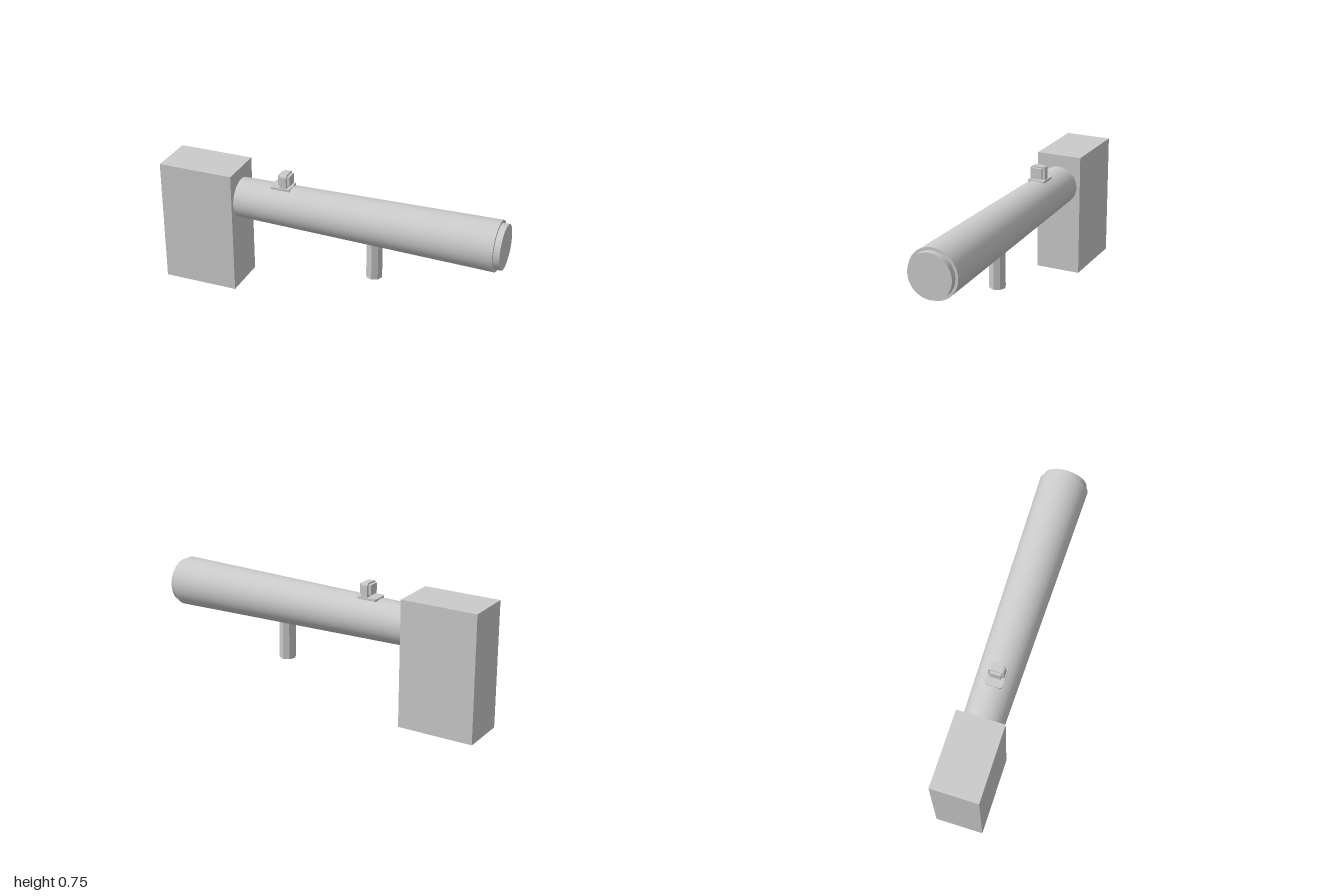
import * as THREE from 'three';

const mat = new THREE.MeshStandardMaterial({ color: 0xcccccc });
const flatMat = new THREE.MeshStandardMaterial({ color: 0xcccccc, flatShading: true });

function add(parent, name, geometry, x, y, z, material = mat) {
  const mesh = new THREE.Mesh(geometry, material);
  mesh.name = name;
  mesh.position.set(x, y, z);
  parent.add(mesh);
  return mesh;
}

// Cylinder lying along x, from x0 (radius r0) to x1 (radius r1)
function barrelPart(parent, name, x0, r0, x1, r1) {
  const geo = new THREE.CylinderGeometry(r1, r0, x1 - x0, 64);
  geo.rotateZ(-Math.PI / 2);
  return add(parent, name, geo, (x0 + x1) / 2, 0.543, 0);
}

// Rectangle from (x0, y0) to (x1, y1) with the two corners at y1 rounded
function archShape(x0, y0, x1, y1, r) {
  const s = new THREE.Shape();
  s.moveTo(x0, y0);
  s.lineTo(x1, y0);
  s.lineTo(x1, y1 - r);
  s.quadraticCurveTo(x1, y1, x1 - r, y1);
  s.lineTo(x0 + r, y1);
  s.quadraticCurveTo(x0, y1, x0, y1 - r);
  s.closePath();
  return s;
}

const extrude = (shape, depth) =>
  new THREE.ExtrudeGeometry(shape, { depth, bevelEnabled: false, curveSegments: 5 });

export function createModel() {
  const model = new THREE.Group();
  model.name = 'model';

  // Upright block at the end
  add(model, 'endBlock', new THREE.BoxGeometry(0.445, 0.73, 0.274), -0.7775, 0.365, 0);

  // Tapered tube and its inset end cap
  barrelPart(model, 'tube', -0.565, 0.115, 0.965, 0.143);
  barrelPart(model, 'endCap', 0.95, 0.127, 1, 0.127);

  // Octagonal grip below the tube
  add(model, 'grip', new THREE.CylinderGeometry(0.048, 0.048, 0.25, 8), 0.258, 0.325, 0, flatMat);

  // Small fitting on top: plate, rounded frame and block
  const fitting = new THREE.Group();
  fitting.name = 'topFitting';
  model.add(fitting);

  const plate = extrude(archShape(-0.05, 0.237, 0.05, 0.355, 0.018), 0.014);
  plate.rotateX(-Math.PI / 2);
  plate.rotateY(Math.PI / 2);
  add(fitting, 'fittingPlate', plate, 0, 0.655, 0);

  const frame = extrude(archShape(-0.045, 0.66, 0.045, 0.747, 0.018), 0.038);
  frame.rotateY(Math.PI / 2);
  add(fitting, 'fittingFrame', frame, -0.296, 0, 0);

  add(fitting, 'fittingBlock', new THREE.BoxGeometry(0.07, 0.058, 0.062), -0.277, 0.709, 0);

  return model;
}
